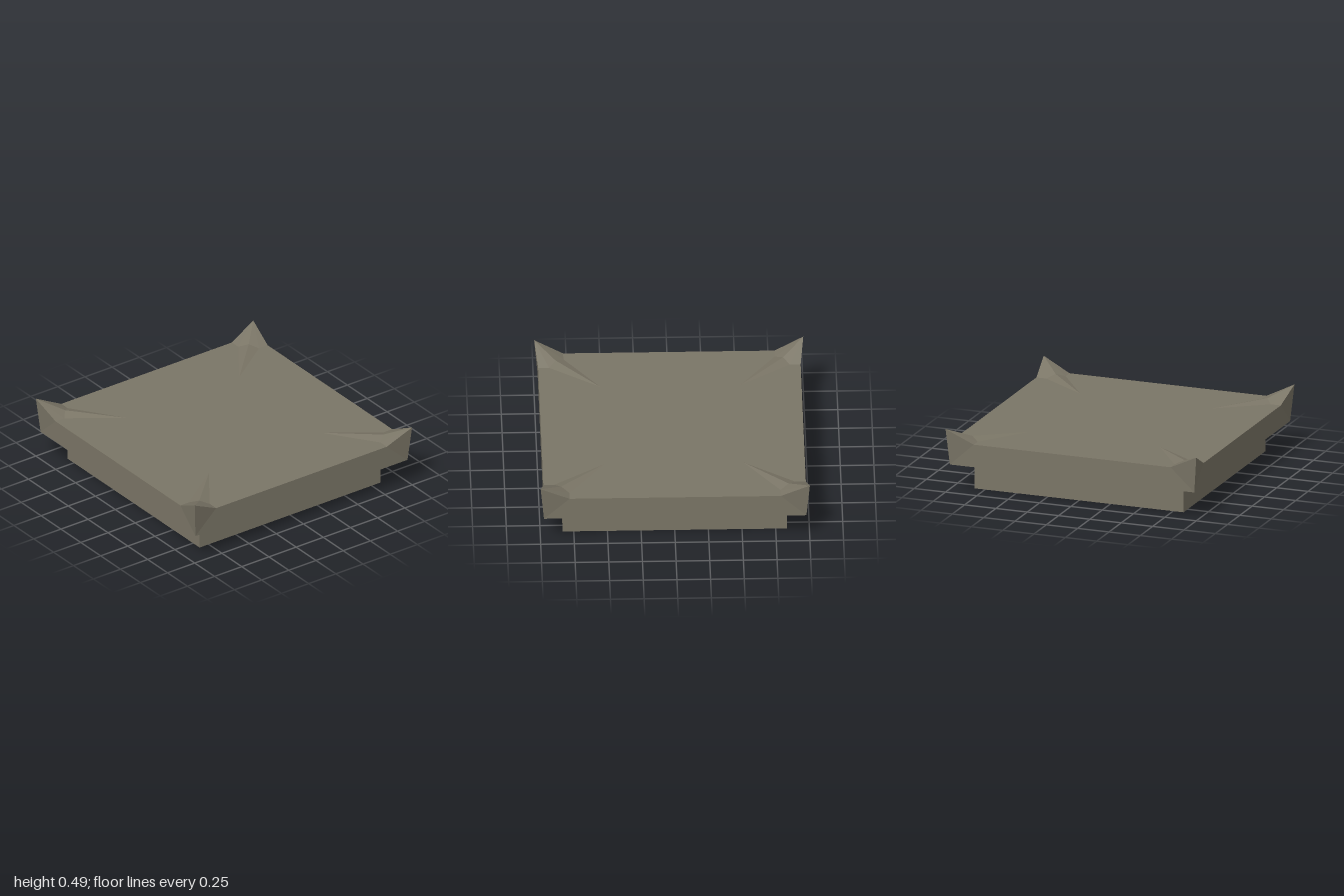
import * as THREE from 'three';

export function createModel() {
  const model = new THREE.Group();
  const stone = new THREE.MeshStandardMaterial({ color: 0x7a7566, flatShading: true });
  stone.name = 'weathered stone';

  const add = (name, geometry) => {
    const mesh = new THREE.Mesh(geometry, stone);
    mesh.name = name;
    model.add(mesh);
    return mesh;
  };
  const block = (name, half, y0, y1) =>
    add(name, new THREE.BoxGeometry(half * 2, y1 - y0, half * 2)).position.y = (y0 + y1) / 2;

  // Plinth and overhanging cap slab
  block('plinth', 0.833, 0, 0.21);
  block('capSlab', 0.975, 0.21, 0.385);

  // Upturned corner: key points of one half, mirrored across the diagonal
  const tip = [0.52, 0.385, 0.52];
  const ridge = [0.845, 0.41, 0.845];
  const apex = [1, 0.49, 1];
  const inner = [0.785, 0.385, 0.895];
  const edge = [0.785, 0.385, 0.975];
  const foot = [0.975, 0.21, 0.975];
  const faces = [
    [tip, inner, ridge],
    [ridge, inner, apex],
    [inner, edge, apex],
    [edge, foot, apex],
  ];
  const swap = ([x, y, z]) => [z, y, x];
  const points = faces.flatMap(([a, b, c]) => [a, b, c, swap(a), swap(c), swap(b)]);
  const corner = new THREE.BufferGeometry();
  corner.setAttribute('position', new THREE.Float32BufferAttribute(points.flat(), 3));
  corner.computeVertexNormals();

  // One horn at each corner
  ['frontLeftHorn', 'backLeftHorn', 'backRightHorn', 'frontRightHorn'].forEach((name, i) => {
    add(name, corner).rotation.y = (i * Math.PI) / 2;
  });

  return model;
}
